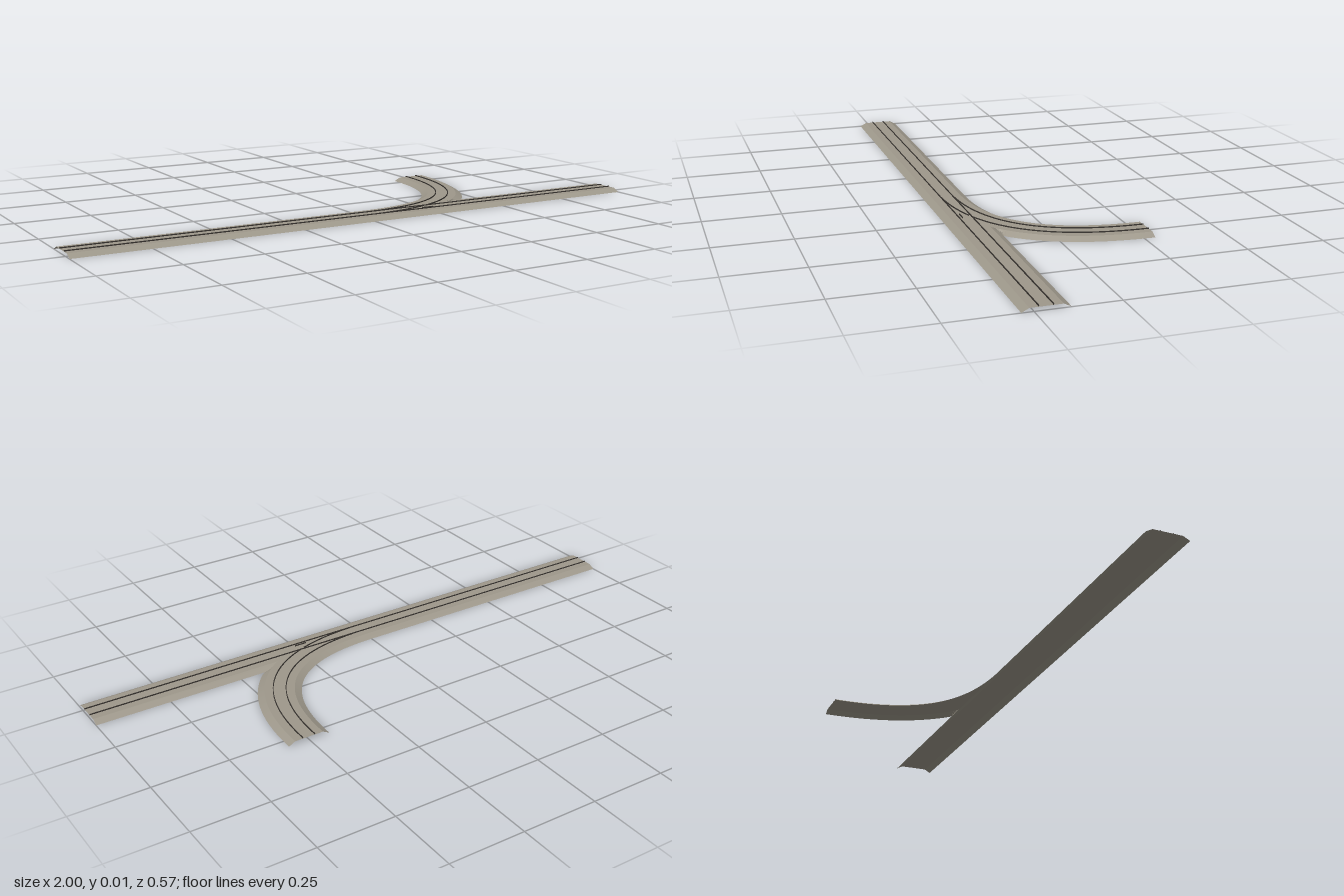
import * as THREE from 'three';

const TRACK_Z = 0.215;   // centre line of the straight track
const BED_TOP = 0.0115;
const BED_HALF = 0.07;   // half width at the ground
const TOP_HALF = 0.048;  // half width at the top
const GAUGE = 0.0205;    // rail offset from the centre line

// Straight centre line, t = 0..1 along x
const straight = (t) => ({ x: -1 + 2 * t, z: TRACK_Z, nx: 0, nz: 1 });

// Diverging centre line: quadratic curve turning from +x to -z
function branch(t) {
  const len = Math.hypot(t, 1 - t);
  return {
    x: t - 0.5 * t * t,
    z: TRACK_Z - 0.5 * t * t,
    nx: t / len,
    nz: (1 - t) / len,
  };
}

// Sweep an open [offset, height] profile along a path
function sweep(path, profile, t0, t1, segments, adjust = (z) => z) {
  const positions = [];
  const point = (i, j) => {
    const p = path(t0 + ((t1 - t0) * i) / segments);
    const [offset, y] = profile[j];
    return [p.x + p.nx * offset, y, adjust(p.z + p.nz * offset, y)];
  };
  for (let i = 0; i < segments; i++) {
    for (let j = 0; j < profile.length - 1; j++) {
      const a = point(i, j), b = point(i, j + 1);
      const c = point(i + 1, j + 1), d = point(i + 1, j);
      positions.push(...a, ...b, ...c, ...a, ...c, ...d);
    }
  }
  const geometry = new THREE.BufferGeometry();
  geometry.setAttribute('position', new THREE.Float32BufferAttribute(positions, 3));
  geometry.computeVertexNormals();
  return geometry;
}

// Hollow bank: slope, flat top, slope
const bedProfile = [
  [-BED_HALF, 0], [-TOP_HALF, BED_TOP], [TOP_HALF, BED_TOP], [BED_HALF, 0],
];

// Thin rail: side, top, side
function railProfile(offset) {
  const w = 0.0013, top = 0.0147;
  return [
    [offset - w, BED_TOP], [offset - w, top],
    [offset + w, top], [offset + w, BED_TOP],
  ];
}

// Trim the branch bed where it runs into the sloping side of the straight bed
function trimToStraight(z, y) {
  const half = BED_HALF + (TOP_HALF - BED_HALF) * (y / BED_TOP);
  return Math.min(z, TRACK_Z - half);
}

export function createModel() {
  const ballast = new THREE.MeshStandardMaterial({ color: 0x9e988b, side: THREE.DoubleSide });
  ballast.name = 'ballast grey';
  const steel = new THREE.MeshStandardMaterial({ color: 0x383430 });
  steel.name = 'dark rail steel';

  const model = new THREE.Group();
  model.name = 'railSwitch';
  const add = (name, geometry, material) => {
    const mesh = new THREE.Mesh(geometry, material);
    mesh.name = name;
    model.add(mesh);
  };

  // Track beds
  add('straightBed', sweep(straight, bedProfile, 0, 1, 1), ballast);
  add('branchBed', sweep(branch, bedProfile, 0, 1, 64, trimToStraight), ballast);

  // Rails of the straight track
  add('straightFrontRail', sweep(straight, railProfile(GAUGE), 0, 1, 1), steel);
  add('straightBackRail', sweep(straight, railProfile(-GAUGE), 0, 1, 1), steel);

  // Rails of the branch; the outer one has a gap at the crossing
  add('branchInnerRail', sweep(branch, railProfile(-GAUGE), 0.03, 1, 48), steel);
  add('branchPointRail', sweep(branch, railProfile(GAUGE), 0.03, 0.264, 16), steel);
  add('branchOuterRail', sweep(branch, railProfile(GAUGE), 0.275, 1, 40), steel);

  // Short guard rail opposite the crossing
  add('guardRail', sweep(straight, railProfile(GAUGE - 0.01), 0.606, 0.628, 1), steel);

  return model;
}
